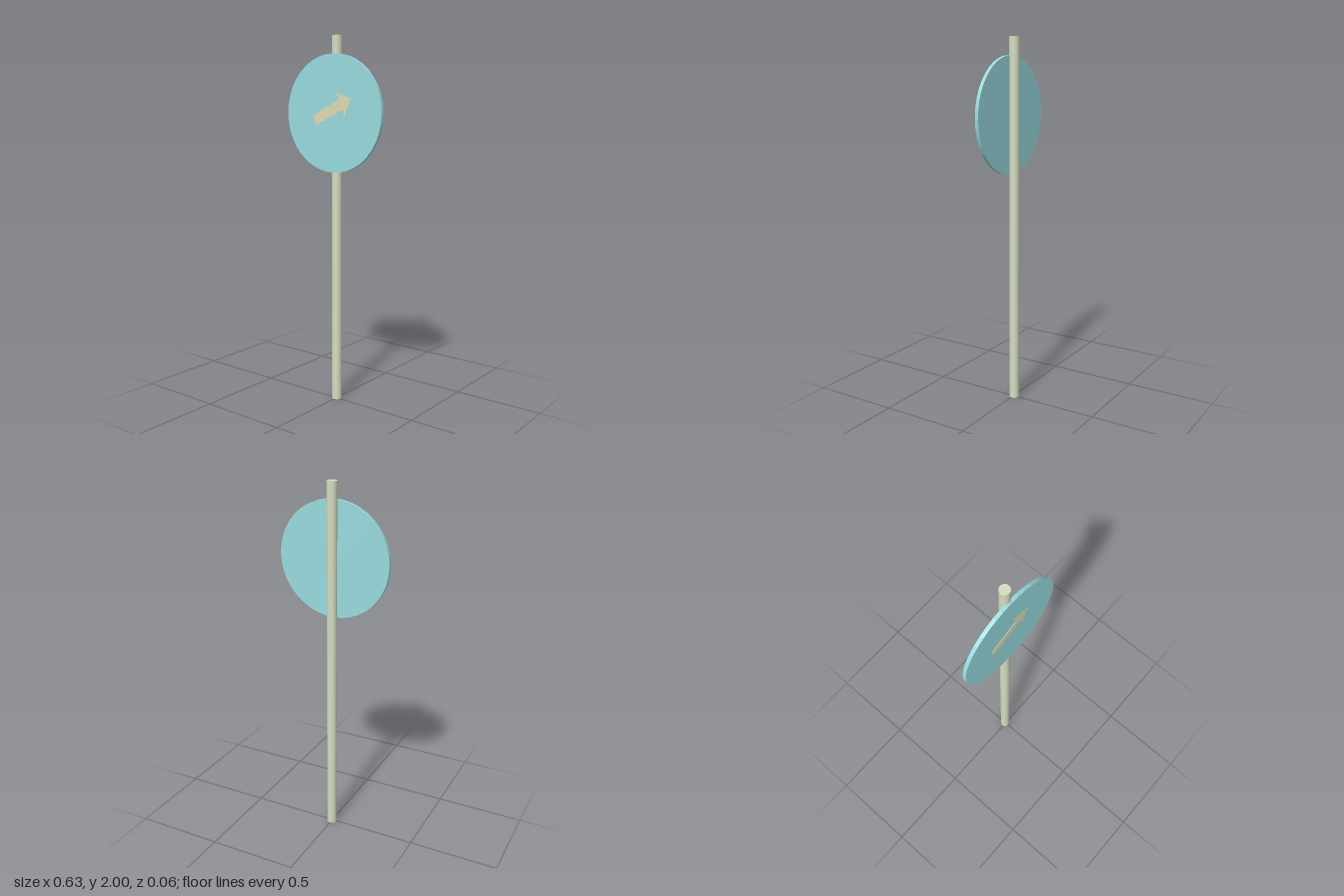
import * as THREE from 'three';

const part = (name, geometry, color, flatShading = false) => {
  const material = new THREE.MeshStandardMaterial({ color, flatShading });
  const mesh = new THREE.Mesh(geometry, material);
  mesh.name = name;
  return mesh;
};

export function createModel() {
  const group = new THREE.Group();
  group.name = 'roadSign';

  // Round post, standing on the ground
  const post = part('post', new THREE.CylinderGeometry(0.027, 0.027, 2, 32), 0xd4dcc0);
  post.position.set(0, 1, -0.006);
  group.add(post);

  // Sign disc, let into the front of the post
  const discGeometry = new THREE.CylinderGeometry(0.313, 0.313, 0.019, 40);
  discGeometry.rotateX(Math.PI / 2);
  const disc = part('signDisc', discGeometry, 0x98dade, true);
  disc.position.set(0, 1.593, 0.0205);
  group.add(disc);

  // Arrow: drawn along +x from the middle of its tail, then tilted upwards
  const shaft = 0.029, head = 0.068, neck = 0.195, length = 0.272;
  const outline = new THREE.Shape([
    [0, -shaft], [neck, -shaft], [neck, -head], [length, 0],
    [neck, head], [neck, shaft], [0, shaft],
  ].map(([x, y]) => new THREE.Vector2(x, y)));
  const arrowGeometry = new THREE.ExtrudeGeometry(outline, { depth: 0.002, bevelEnabled: false });
  const arrow = part('arrow', arrowGeometry, 0xdedab4, true);
  arrow.position.set(-0.124, 1.556, 0.0295);
  arrow.rotation.z = THREE.MathUtils.degToRad(25.3);
  group.add(arrow);

  return group;
}
